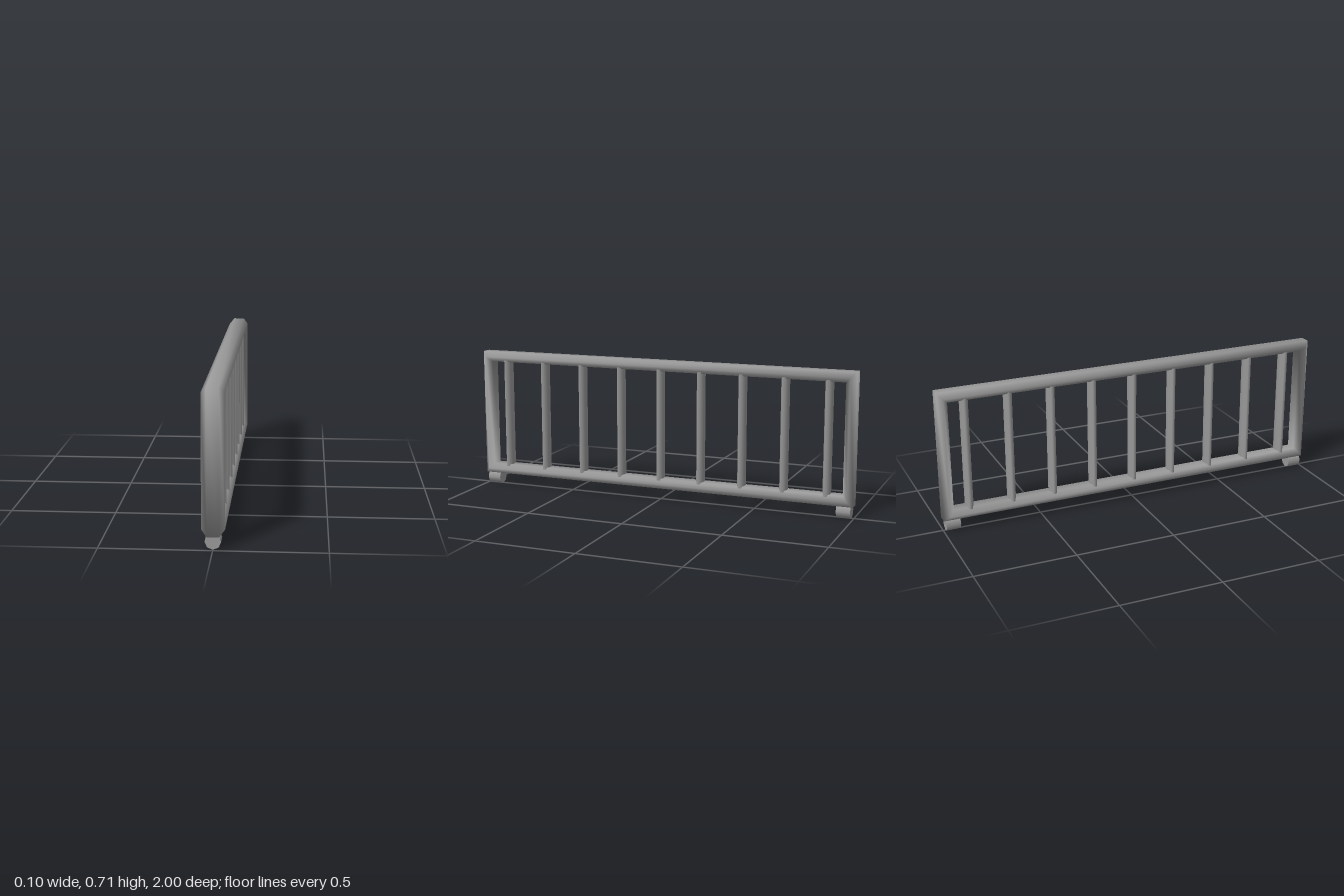
import * as THREE from 'three';

// Closed rectangular ring with a hexagonal section, mitred and smooth at its corners
function frameGeometry(halfLength, bottom, top) {
  const section = [[-0.027, 0], [0.027, 0], [0.052, 0.027], [0.027, 0.052], [-0.027, 0.052], [-0.052, 0.027]];
  const corners = [[1, 1], [-1, 1], [-1, -1], [1, -1]]; // z side, y side
  const mid = (top + bottom) / 2, halfHeight = (top - bottom) / 2;
  const n = section.length, positions = [], index = [];
  corners.forEach(([sz, sy], k) => {
    section.forEach(([x, inset], j) => {
      positions.push(x, mid + sy * (halfHeight - inset), sz * (halfLength - inset));
      const k2 = (k + 1) % 4, j2 = (j + 1) % n;
      const a = k * n + j, b = k * n + j2, c = k2 * n + j, d = k2 * n + j2;
      index.push(a, b, c, b, d, c);
    });
  });
  const geometry = new THREE.BufferGeometry();
  geometry.setAttribute('position', new THREE.Float32BufferAttribute(positions, 3));
  geometry.setIndex(index);
  geometry.computeVertexNormals();
  return geometry;
}

export function createModel() {
  const group = new THREE.Group();
  group.name = 'railing';
  const metal = new THREE.MeshStandardMaterial({ color: 0x999999 });
  metal.name = 'grey metal';

  const add = (name, geometry, x, y, z) => {
    const mesh = new THREE.Mesh(geometry, metal);
    mesh.name = name;
    mesh.position.set(x, y, z);
    group.add(mesh);
  };

  // Outer frame
  add('frame', frameGeometry(1, 0.06, 0.715), 0, 0, 0);

  // Nine upright bars, wider across the railing than along it
  const bar = new THREE.CylinderGeometry(1, 1, 0.57, 8, 1, false, Math.PI / 8);
  bar.scale(0.039, 1, 0.0195);
  for (let i = 0; i < 9; i++) add('bar', bar, 0, 0.3875, 0.866 - i * 0.2162);

  // Short eight-sided feet lying along the railing
  const foot = new THREE.CylinderGeometry(0.036, 0.036, 0.07, 8);
  foot.rotateX(Math.PI / 2);
  for (const side of [1, -1]) add('foot', foot, 0, 0.036, side * 0.953);

  return group;
}
